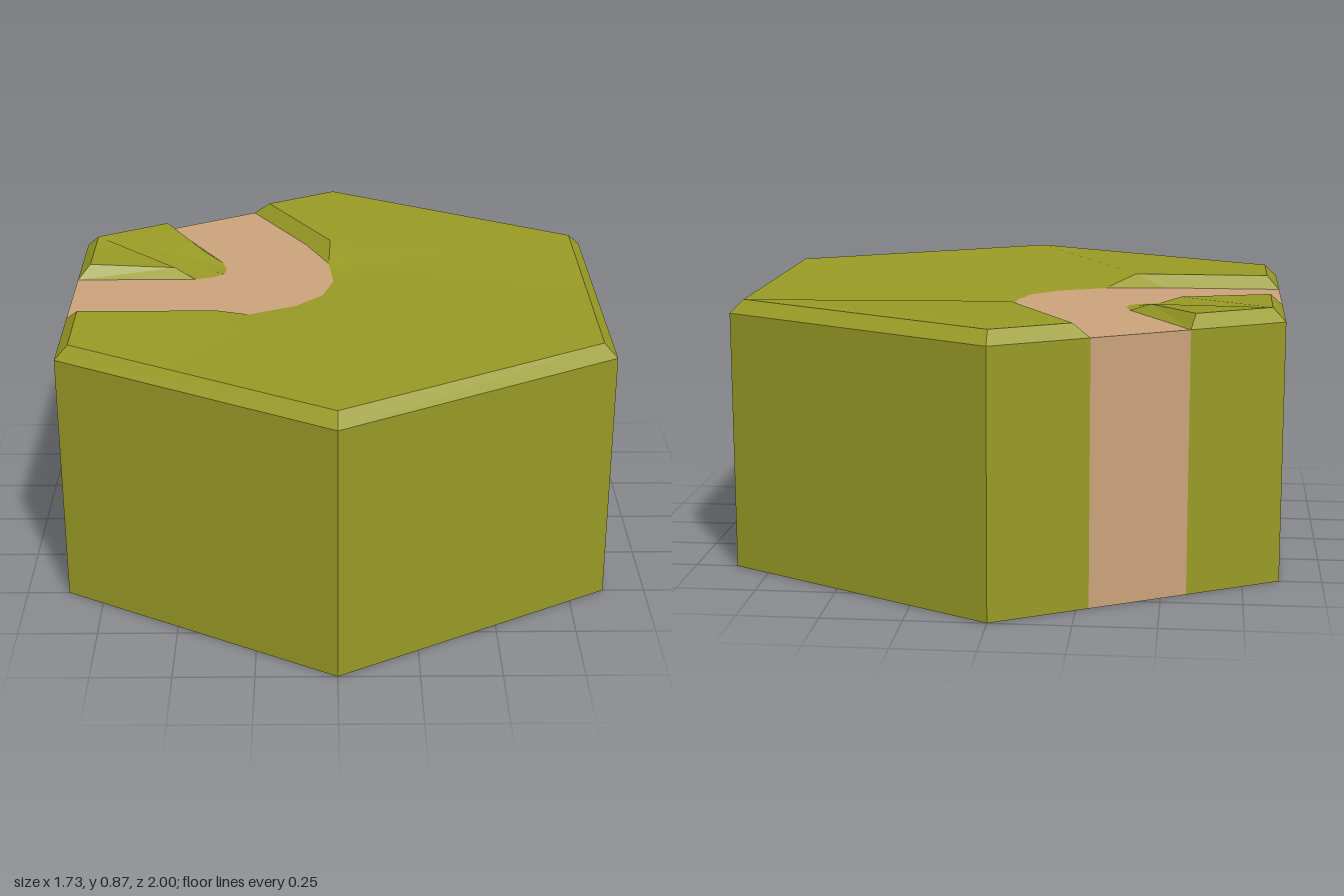
import * as THREE from 'three';
import { mergeVertices } from 'three/addons/utils/BufferGeometryUtils.js';

const LOW = 0.825, TOP = 0.866, S = Math.sqrt(3) / 2;

// the tile is symmetric about the vertical plane through the path's bend
const mirror = ([x, y, z]) => {
  const d = 2 * (-S * x - 0.5 * z);
  return [-S * d - x, y, -0.5 * d - z];
};

// surface from triangles, each turned to face up, or outward when vertical
function surface(triangles, smooth = false) {
  const positions = [];
  for (const [a, b, c] of triangles) {
    const [A, B, C] = [a, b, c].map((p) => new THREE.Vector3(...p));
    const n = B.clone().sub(A).cross(C.clone().sub(A)).normalize();
    const facing = Math.abs(n.y) > 0.01 ? n.y : n.x * (A.x + B.x + C.x) + n.z * (A.z + B.z + C.z);
    positions.push(...a, ...(facing > 0 ? [...b, ...c] : [...c, ...b]));
  }
  let g = new THREE.BufferGeometry();
  g.setAttribute('position', new THREE.Float32BufferAttribute(positions, 3));
  if (smooth) g = mergeVertices(g, 0.001);
  g.computeVertexNormals();
  return g;
}

const quad = (a, b, c, d) => [[a, b, c], [a, c, d]];
const both = (tris) => [...tris, ...tris.map((t) => t.map(mirror))];
const low = (x, z) => [x, LOW, z];
const top = (x, z) => [x, TOP, z];
const floor = ([x, , z]) => [x, 0, z];

export function createModel() {
  const group = new THREE.Group();
  const grass = new THREE.MeshStandardMaterial({ color: 0x989a25 });
  grass.name = 'grass green';
  const sand = new THREE.MeshStandardMaterial({ color: 0xcaa37b });
  sand.name = 'path sand';
  const add = (name, geometry, material) => {
    const mesh = new THREE.Mesh(geometry, material);
    mesh.name = name;
    group.add(mesh);
  };

  // half of each outline; the last point of each path edge lies on the mirror plane
  const outer = [low(-S, 0.167), low(-0.48, 0.165), low(-0.28, 0.14), low(-0.13, 0.07), low(-0.04, -0.0231)];
  const inner = [low(-S, -0.167), low(-0.47, -0.17), low(-0.405, -0.19), low(-0.375, -0.2165)];
  const corners = [low(-S, -0.5), low(-S, 0.5), low(0, 1), low(S, 0.5)];
  const [I, E, F, D] = corners.map(([x, , z]) => top(x * 0.953, z * 0.953));
  const G = top(-0.826, 0.207), H = top(-0.38, 0.205);
  const K = top(-0.826, -0.207), L = [-0.54, 0.853, -0.207];

  // path floor
  const outline = [...outer, ...outer.slice(0, -1).reverse().map(mirror),
    ...inner.map(mirror), ...inner.slice(0, -1).reverse()];
  const faces = THREE.ShapeUtils.triangulateShape(outline.map((p) => new THREE.Vector2(p[0], -p[2])), []);
  add('path', surface(faces.map((f) => f.map((i) => outline[i]))), sand);

  // side walls, with the path's stripe running down two of them
  const wall = (a, b) => quad(a, b, floor(b), floor(a));
  add('walls', surface(both([
    ...wall(corners[0], inner[0]), ...wall(outer[0], corners[1]),
    ...wall(corners[1], corners[2]), ...wall(corners[2], corners[3]),
  ])), grass);
  add('pathStripes', surface(both(wall(inner[0], outer[0]))), sand);

  // bevels along the rim and along the path
  add('rimBevel', surface(both([
    ...quad(corners[0], inner[0], K, I), ...quad(outer[0], corners[1], E, G),
    ...quad(corners[1], corners[2], F, E), ...quad(corners[2], corners[3], D, F),
  ])), grass);
  add('pathBevel', surface(both([
    ...quad(outer[0], outer[1], H, G), [outer[1], outer[2], H],
    ...quad(inner[0], inner[1], L, K),
  ])), grass);

  // ground sloping gently from the rim down to the bend
  add('outerGround', surface(both([
    [G, E, H], [H, E, F], [H, F, outer[2]], [outer[2], F, outer[3]],
    [outer[3], F, D], [outer[3], D, outer[4]],
  ]), true), grass);
  add('innerGround', surface(both([
    [K, L, I], [L, inner[1], I], [inner[1], inner[2], I], [inner[2], inner[3], I],
  ]), true), grass);

  // underside
  const base = new THREE.CircleGeometry(1, 6, Math.PI / 2);
  base.rotateX(Math.PI / 2);
  add('underside', base, grass);
  return group;
}
